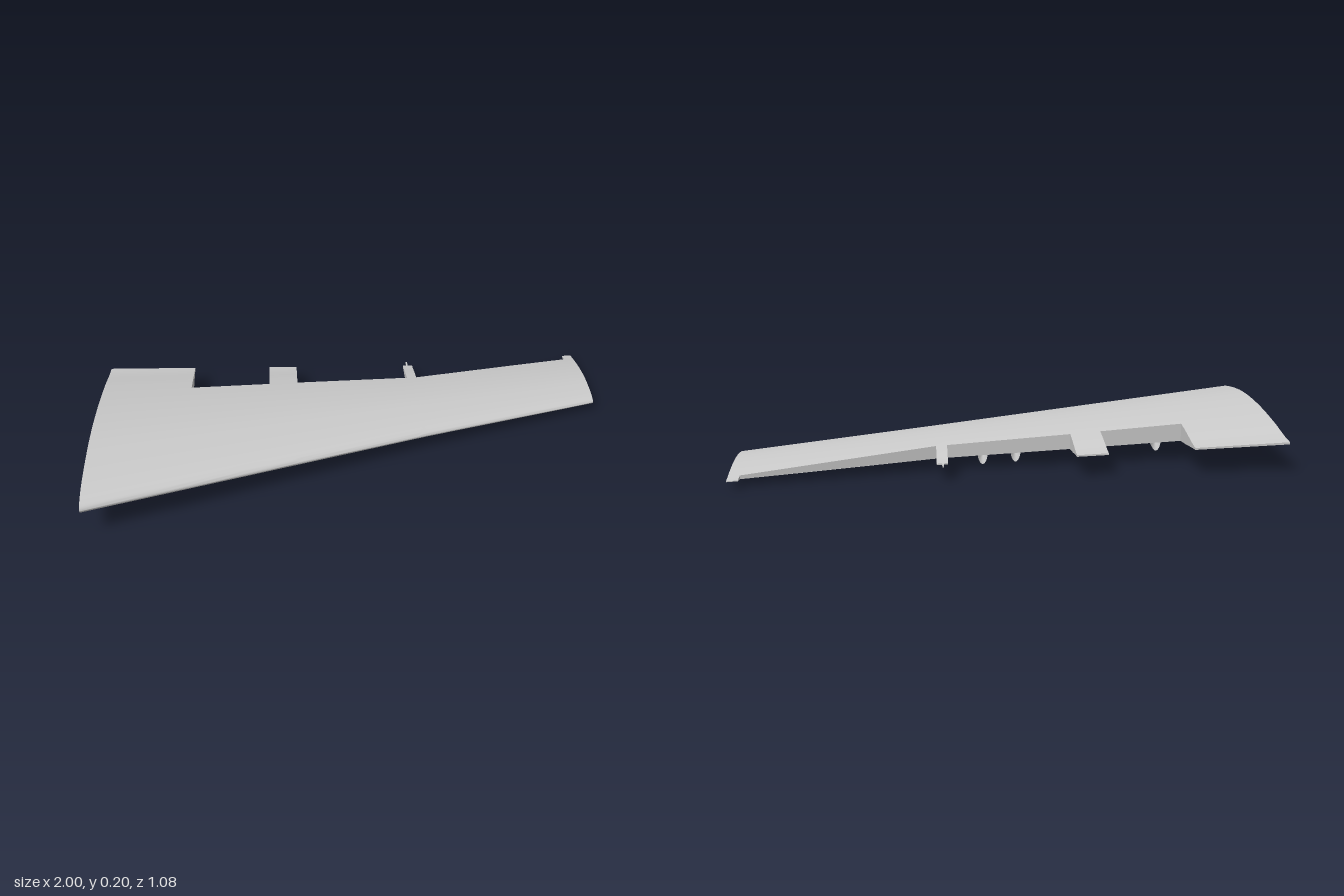
import * as THREE from 'three';
import { toCreasedNormals } from 'three/addons/utils/BufferGeometryUtils.js';

const material = new THREE.MeshStandardMaterial({ color: 0xcccccc, side: THREE.DoubleSide });

// Piecewise linear planform line through [x, z] points
const line = (pts) => (x) => {
  let i = 0;
  while (i < pts.length - 2 && x > pts[i + 1][0]) i++;
  const [a, b] = [pts[i], pts[i + 1]];
  return a[1] + ((b[1] - a[1]) * (x - a[0])) / (b[0] - a[0]);
};
const leading = line([[-1, 0.535], [0.28, 0.085], [1, -0.147]]);
const trailing = line([[-1, -0.44], [-0.65, -0.445], [0.26, -0.458], [1, -0.54]]);
const cut = line([[-1, -0.185], [-0.65, -0.22], [-0.335, -0.253], [-0.22, -0.265], [0.24, -0.308], [0.28, -0.312], [1, -0.506]]);

// Airfoil heights at even steps of sqrt(chord fraction)
const profile = (hs) => new THREE.SplineCurve(hs.map((h, i) => new THREE.Vector2(i / (hs.length - 1), h)));
const upper = profile([0.43, 0.56, 0.68, 0.8, 0.89, 0.96, 1, 0.955, 0.82, 0.575, 0.25]);
const lower = profile([0.43, 0.31, 0.2, 0.12, 0.07, 0.035, 0.01, 0, 0.005, 0.06, 0.18]);

function surfacePoint(curve, x, z) {
  const t = THREE.MathUtils.clamp((leading(x) - z) / (leading(x) - trailing(x)), 0, 1);
  const u = (x + 1) / 2;
  const y = 0.084 - 0.0645 * u + (0.113 - 0.067 * u) * curve.getPoint(Math.sqrt(t)).y;
  return [x, y, z];
}

// Collects quads and turns them into a mesh
function createBuilder() {
  const pos = [];
  const quad = (a, b, c, d) => pos.push(...a, ...b, ...c, ...a, ...c, ...d);
  const at = (x, front, back, s) => front(x) + (back(x) - front(x)) * s;
  return {
    // Upper and lower skin between two chordwise lines
    skin(x0, x1, front, back, rows, power, cols = 3) {
      for (let i = 0; i < cols; i++) for (let j = 0; j < rows; j++) {
        const xa = x0 + ((x1 - x0) * i) / cols, xb = x0 + ((x1 - x0) * (i + 1)) / cols;
        const s0 = (j / rows) ** power, s1 = ((j + 1) / rows) ** power;
        const corners = (c) => [[xa, s0], [xb, s0], [xb, s1], [xa, s1]].map(([x, s]) => surfacePoint(c, x, at(x, front, back, s)));
        quad(...corners(upper));
        quad(...corners(lower).reverse());
      }
    },
    // Rear face closing the skins
    wall(x0, x1, back) {
      const p = (c, x) => surfacePoint(c, x, back(x));
      quad(p(upper, x1), p(lower, x1), p(lower, x0), p(upper, x0));
    },
    // Chordwise end face, facing +x or -x
    rib(x, front, back, side, rows, power) {
      for (let j = 0; j < rows; j++) {
        const z0 = at(x, front, back, (j / rows) ** power), z1 = at(x, front, back, ((j + 1) / rows) ** power);
        const q = [surfacePoint(lower, x, z0), surfacePoint(lower, x, z1), surfacePoint(upper, x, z1), surfacePoint(upper, x, z0)];
        quad(...(side > 0 ? q : q.reverse()));
      }
    },
    mesh(name) {
      const g = new THREE.BufferGeometry();
      g.setAttribute('position', new THREE.Float32BufferAttribute(pos, 3));
      const m = new THREE.Mesh(toCreasedNormals(g, 0.6), material);
      m.name = name;
      return m;
    },
  };
}

export function createModel() {
  const wing = new THREE.Group();
  wing.name = 'wing';

  // Main wing box, with open bays in the rear between the fixed panels
  const box = createBuilder();
  const stations = [-1, -0.65, -0.335, -0.22, 0.24, 0.28, 0.96, 1];
  for (let i = 0; i < stations.length - 1; i++) {
    box.skin(stations[i], stations[i + 1], leading, cut, 28, 2);
    if (i % 2 === 1) box.wall(stations[i], stations[i + 1], cut);
  }
  box.rib(-1, leading, cut, -1, 28, 2);
  box.rib(1, leading, cut, 1, 28, 2);
  wing.add(box.mesh('wingBox'));

  // Fixed trailing edge panels
  const panels = [['rootPanel', -1, -0.65], ['middlePanel', -0.335, -0.22], ['narrowPanel', 0.24, 0.28], ['tipPanel', 0.96, 1]];
  for (const [name, x0, x1] of panels) {
    const panel = createBuilder();
    panel.skin(x0, x1, cut, trailing, 8, 1);
    panel.wall(x0, x1, trailing);
    panel.rib(x0, cut, trailing, -1, 8, 1);
    panel.rib(x1, cut, trailing, 1, 8, 1);
    wing.add(panel.mesh(name));
  }

  // Small spike behind the narrow panel
  const spike = new THREE.Mesh(new THREE.BoxGeometry(0.006, 0.007, 0.04), material);
  spike.name = 'trailingSpike';
  spike.position.set(0.258, 0.057, -0.467);
  wing.add(spike);

  // Half teardrop fairings under the wing, pointed forward and flat behind
  const outline = [[0, 0], [0.01, 0.012], [0.022, 0.04], [0.033, 0.075], [0.042, 0.115], [0.047, 0.15], [0.049, 0.175]];
  const shell = new THREE.LatheGeometry(outline.map(([r, l]) => new THREE.Vector2(r, l)), 20, Math.PI / 2, Math.PI);
  const back = new THREE.LatheGeometry([new THREE.Vector2(0.049, 0.175), new THREE.Vector2(0, 0.155)], 20, Math.PI / 2, Math.PI);
  for (const [x, z] of [[-0.57, 0.025], [-0.02, -0.04], [0.105, -0.052]]) {
    const fairing = new THREE.Group();
    fairing.name = 'fairing';
    fairing.add(new THREE.Mesh(shell, material), new THREE.Mesh(back, material));
    fairing.children[0].name = 'fairingShell';
    fairing.children[1].name = 'fairingBack';
    fairing.rotation.x = -Math.PI / 2;
    fairing.scale.x = 0.4;
    fairing.position.set(x, surfacePoint(lower, x, z - 0.15)[1] + 0.002, z);
    wing.add(fairing);
  }
  return wing;
}
